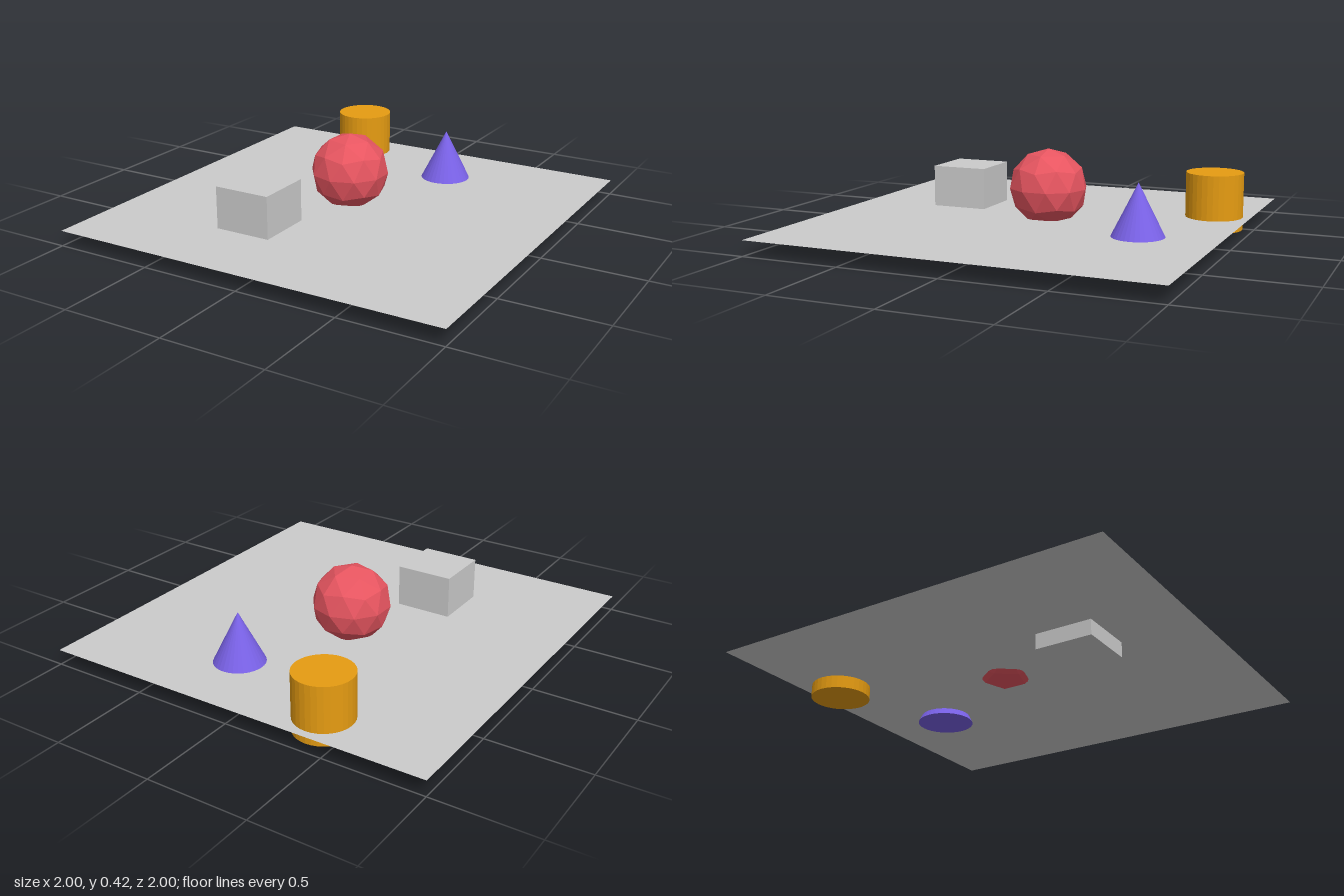
import * as THREE from 'three';

const UNIT = 2 / 7; // common size of the block, cylinder and cone

export function createModel() {
  const group = new THREE.Group();

  const add = (name, geometry, color, x, y, z, options = {}) => {
    const material = new THREE.MeshStandardMaterial({ color, flatShading: true, ...options });
    const mesh = new THREE.Mesh(geometry, material);
    mesh.name = name;
    mesh.position.set(x, y, z);
    group.add(mesh);
  };

  // Thin ground sheet that cuts through the lower part of every solid
  const sheet = new THREE.PlaneGeometry(2, 2).rotateX(-Math.PI / 2);
  add('groundSheet', sheet, 0xcccccc, 0, 0.076, 0, { side: THREE.DoubleSide });

  // Block
  add('block', new THREE.BoxGeometry(UNIT, UNIT, UNIT), 0xcccccc, -0.243, UNIT / 2, 0.46);

  // Faceted ball, turned so that one of its five-sided corners is the top pole
  const ball = new THREE.IcosahedronGeometry(0.195, 1);
  ball.rotateZ(-Math.atan2(1, (1 + Math.sqrt(5)) / 2));
  add('facetedBall', ball, 0xe75560, -0.053, 0.225, -0.063);

  // Cylinder
  const cylinder = new THREE.CylinderGeometry(UNIT / 2, UNIT / 2, UNIT, 32);
  add('cylinder', cylinder, 0xe69c12, -0.397, 0.157, -0.818);

  // Cone
  add('cone', new THREE.ConeGeometry(UNIT / 2, UNIT, 32), 0x7a62e8, 0.212, 0.185, -0.618);

  return group;
}
